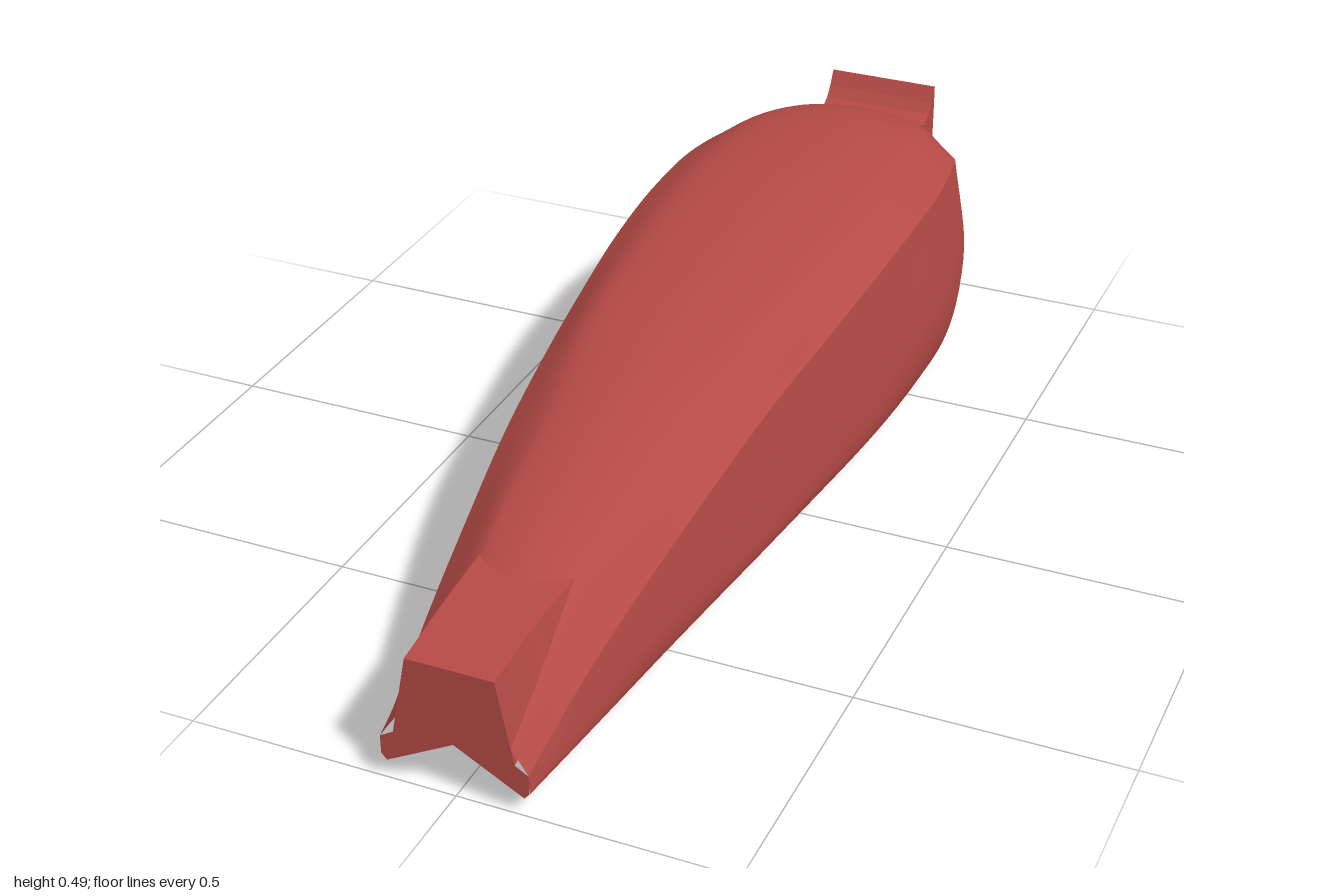
import * as THREE from 'three';

// Smooth rail through [z, x, y] points; returns z -> [x, y]
function rail(p) {
  const slope = (i, c) => {
    const a = p[Math.max(i - 1, 0)], b = p[Math.min(i + 1, p.length - 1)];
    return (b[c] - a[c]) / (b[0] - a[0]);
  };
  return z => {
    let i = 0;
    while (i < p.length - 2 && z < p[i + 1][0]) i++;
    const a = p[i], b = p[i + 1], h = b[0] - a[0], t = (z - a[0]) / h;
    return [1, 2].map(c =>
      (2 * t ** 3 - 3 * t * t + 1) * a[c] + (t ** 3 - 2 * t * t + t) * h * slope(i, c) +
      (3 * t * t - 2 * t ** 3) * b[c] + (t ** 3 - t * t) * h * slope(i + 1, c));
  };
}

// Rails running from nose to tail on the left half
const ridge = rail([[1, 0, .17], [.8, 0, .255], [.73, 0, .288], [.6, 0, .33], [.4, 0, .385], [.2, 0, .425], [0, 0, .455],
  [-.4, 0, .485], [-.7, 0, .48], [-.82, 0, .458], [-.9, 0, .425], [-.95, 0, .385], [-1, 0, .3]]);
const shoulder = rail([[1, .1, .13], [.73, .1, .262], [.6, .115, .305], [.2, .16, .4], [0, .18, .43], [-.4, .197, .46],
  [-.7, .185, .452], [-.85, .15, .42], [-.95, .12, .36], [-1, .105, .28]]);
const crease = rail([[1, .135, .08], [.95, .137, .1], [.8, .155, .17], [.6, .18, .24], [.4, .205, .3], [.2, .225, .345],
  [0, .245, .375], [-.2, .262, .4], [-.4, .27, .415], [-.6, .265, .415], [-.8, .23, .39], [-.9, .19, .34],
  [-.95, .165, .3], [-1, .135, .24]]);
const belly = rail([[1, .135, .06], [.8, .16, .1], [.6, .19, .12], [.2, .24, .15], [0, .265, .165], [-.4, .295, .18],
  [-.6, .293, .18], [-.8, .26, .19], [-.9, .215, .2], [-1, .14, .205]]);
const hip = rail([[1, .135, .045], [.6, .183, .06], [.2, .235, .07], [-.2, .272, .065], [-.5, .275, .05],
  [-.7, .265, .05], [-.82, .235, .085], [-.9, .195, .12], [-1, .135, .185]]);
const keel = rail([[1, .125, .033], [.6, .165, .032], [.2, .2, .042], [0, .21, .043], [-.2, .22, .025],
  [-.45, .225, .003], [-.7, .22, .003], [-.8, .2, .025], [-.9, .17, .09], [-1, .125, .17]]);
const inner = rail([[1, .115, .04], [.6, .14, .05], [0, .165, .06], [-.4, .175, .02], [-.7, .17, .025],
  [-.9, .14, .105], [-1, .115, .178]]);
const vault = rail([[1, .06, .07], [0, .11, .15], [-.5, .12, .17], [-1, .07, .215]]);
const apex = rail([[1, 0, .102], [.6, 0, .13], [0, 0, .2], [-.6, 0, .24], [-1, 0, .25]]);

// Softens the crown between shoulder and ridge
const crown = z => {
  const [x, y] = shoulder(z), top = ridge(z)[1];
  return [x * .62, y + (top - y) * .7];
};
const flip = r => z => { const [x, y] = r(z); return [-x, y]; };

// Surface across a list of rails, from z0 back to z1
function skin(rails, z0, z1, rows, cols, flat = false) {
  const pos = [], idx = [];
  for (let i = 0; i <= rows; i++) {
    const z = z0 + (z1 - z0) * i / rows;
    const pts = rails.map(r => new THREE.Vector3(...r(z), z));
    const curve = new THREE.CatmullRomCurve3(pts, false, 'catmullrom', .5);
    for (let j = 0; j <= cols; j++) {
      const q = flat ? pts[j] : curve.getPoint(j / cols);
      pos.push(q.x, q.y, q.z);
    }
  }
  for (let i = 0; i < rows; i++) for (let j = 0; j < cols; j++) {
    const a = i * (cols + 1) + j, b = a + 1, c = a + cols + 1, d = c + 1;
    idx.push(a, b, c, b, d, c);
  }
  let g = new THREE.BufferGeometry();
  g.setAttribute('position', new THREE.Float32BufferAttribute(pos, 3));
  g.setIndex(idx);
  if (flat) g = g.toNonIndexed();
  g.computeVertexNormals();
  return g;
}

// Flat end panel from a mirrored half outline, top to bottom, plus a notch
function panel(half, notchY) {
  const left = half.map(([x, y]) => new THREE.Vector2(x, y));
  const right = half.map(([x, y]) => new THREE.Vector2(-x, y)).reverse();
  return new THREE.ShapeGeometry(new THREE.Shape([...left, new THREE.Vector2(0, notchY), ...right]));
}

export function createModel() {
  const group = new THREE.Group();
  const red = new THREE.MeshStandardMaterial({ color: 0xb54a45 });
  red.name = 'red paint';
  const add = (name, geometry) => {
    const m = new THREE.Mesh(geometry, red);
    m.name = name;
    group.add(m);
    return m;
  };

  // Shell: upper cover, two flanks and the tunnel underneath
  add('topCover', skin([flip(crease), flip(shoulder), flip(crown), ridge, crown, shoulder, crease], 1, -1, 80, 36));
  add('leftFlank', skin([crease, belly, hip, keel], 1, -1, 80, 21));
  add('rightFlank', skin([keel, hip, belly, crease].map(flip), 1, -1, 80, 21));
  add('tunnel', skin([keel, inner, vault, apex, flip(vault), flip(inner), flip(keel)], 1, -1, 80, 30));

  // Raised nose block
  const noseTop = rail([[1, .08, .25], [.85, .083, .268], [.7, .088, .276]]);
  const noseBase = rail([[1, .11, .095], [.7, .122, .16]]);
  add('noseBlock', skin([flip(noseBase), flip(noseTop), noseTop, noseBase], 1, .7, 6, 3, true));
  add('nosePanel', panel([[.08, .25], [.11, .095], [.135, .08], [.135, .045], [.125, .033]], .102)).position.z = 1;

  // Upturned tail lip, drawn in side profile and extruded across
  const lip = new THREE.Shape([[.93, .3], [.937, .39], [.965, .405], [.982, .425], [1, .455], [1, .25]]
    .map(([x, y]) => new THREE.Vector2(x, y)));
  const lipGeo = new THREE.ExtrudeGeometry(lip, { depth: .23, bevelEnabled: false });
  lipGeo.translate(0, 0, -.115).rotateY(Math.PI / 2);
  add('tailLip', lipGeo);
  const tail = add('tailPanel', panel([[.115, .455], [.115, .28], [.135, .24], [.14, .205], [.135, .185], [.125, .17]], .25));
  tail.rotation.y = Math.PI;
  tail.position.z = -1;

  return group;
}
